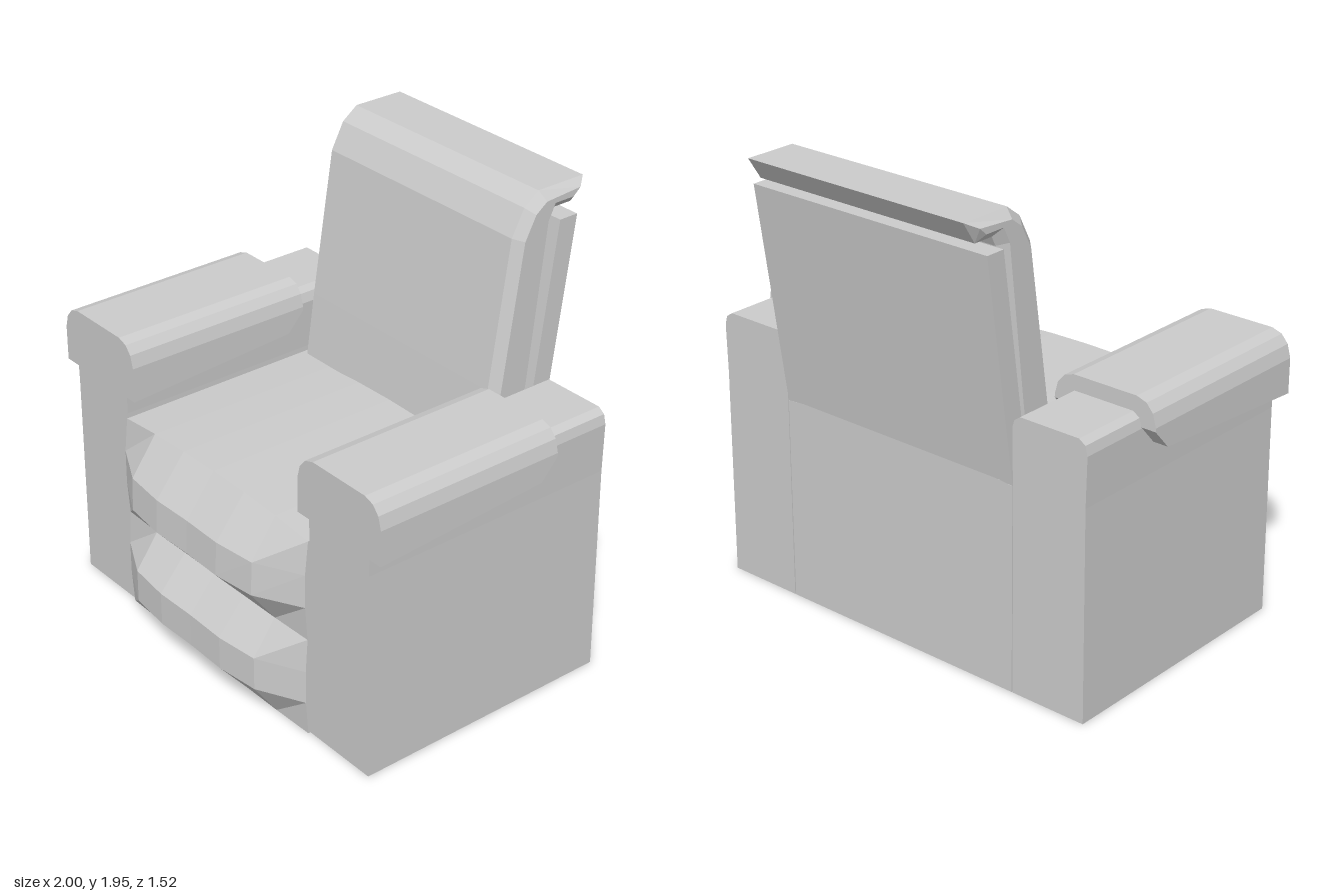
import * as THREE from 'three';
import { ConvexGeometry } from 'three/addons/geometries/ConvexGeometry.js';

const material = new THREE.MeshStandardMaterial({ color: 0xcccccc, flatShading: true });

const shapeFrom = (pts) => new THREE.Shape(pts.map(([a, b]) => new THREE.Vector2(a, b)));

function addMesh(parent, name, geometry) {
  const mesh = new THREE.Mesh(geometry, material);
  mesh.name = name;
  parent.add(mesh);
  return mesh;
}

// Extrudes a [z, y] side profile across x, centred on x = 0
function acrossX(profile, width, { steps = 1, bevel = 0 } = {}) {
  const depth = width - 2 * bevel;
  const geometry = new THREE.ExtrudeGeometry(shapeFrom(profile), {
    depth, steps, bevelEnabled: bevel > 0, bevelSize: bevel,
    bevelThickness: bevel, bevelOffset: -bevel, bevelSegments: 1,
  });
  return geometry.translate(0, 0, -depth / 2).rotateY(-Math.PI / 2);
}

// Seat block with two padded rolls that fade out towards the sides
function seatGeometry() {
  const halfWidth = 0.585, frontZ = 0.625;
  const geometry = acrossX([
    [-0.55, 0], [0.63, 0], [0.757, 0.15], [0.757, 0.295], [0.632, 0.44],
    [0.765, 0.59], [0.757, 0.735], [0.62, 0.91], [-0.55, 0.91],
  ], halfWidth * 2, { steps: 6 });
  const fullness = [0.97, 1, 0.84, 0.08];
  const pos = geometry.attributes.position;
  for (let i = 0; i < pos.count; i++) {
    const x = pos.getX(i), y = pos.getY(i), z = pos.getZ(i);
    const f = fullness[Math.round(Math.abs(x) / 0.195)];
    if (z > frontZ) pos.setZ(i, frontZ + (z - frontZ) * f);
    if (y > 0.85) pos.setY(i, y - 0.03 * (x / halfWidth) ** 2);
  }
  geometry.computeVertexNormals();
  return geometry;
}

// Upright arm block with softened top edges
function armGeometry() {
  const shape = shapeFrom([
    [0.59, 0], [0.935, 0], [0.93, 0.9], [0.935, 1.11], [0.925, 1.15], [0.895, 1.17],
    [0.62, 1.17], [0.593, 1.15], [0.58, 1.11], [0.588, 0.9],
  ]);
  return new THREE.ExtrudeGeometry(shape, { depth: 1.165, bevelEnabled: false }).translate(0, 0, -0.55);
}

// Rounded arm pad: one arch at each station, with a rising underside
function padGeometry() {
  const arch = [
    [0.525, 1.13], [0.54, 1.185], [0.57, 1.22], [0.615, 1.235],
    [0.91, 1.235], [0.955, 1.22], [0.985, 1.185], [1, 1.13],
  ];
  const stations = [[0.62, 0.98], [-0.16, 1.03], [-0.237, 1.115]];
  const points = [];
  for (const [z, bottom] of stations) {
    for (const [x, y] of [[0.525, bottom], ...arch, [1, bottom]]) {
      points.push(new THREE.Vector3(x, y, z));
    }
  }
  return new ConvexGeometry(points);
}

export function createModel() {
  const chair = new THREE.Group();
  chair.name = 'armchair';

  addMesh(chair, 'seat', seatGeometry());

  // Arms: the right one is the left one turned about, then flipped front to back
  for (const [name, side] of [['leftArm', 1], ['rightArm', -1]]) {
    const arm = new THREE.Group();
    arm.name = name;
    arm.scale.x = side;
    addMesh(arm, 'armBlock', armGeometry());
    addMesh(arm, 'armPad', padGeometry());
    chair.add(arm);
  }

  // Leaning rear panel, sunk into the seat block
  addMesh(chair, 'backPanel', acrossX([
    [-0.537, 0.8], [-0.69, 1.825], [-0.602, 1.825], [-0.45, 0.8],
  ], 1.17));

  // Back cushion folded over the top of the panel
  addMesh(chair, 'backCushion', acrossX([
    [-0.262, 0.9], [-0.3, 1.17], [-0.397, 1.79], [-0.455, 1.9], [-0.525, 1.952],
    [-0.755, 1.952], [-0.695, 1.86], [-0.605, 1.86], [-0.585, 1.82], [-0.505, 1.17], [-0.465, 0.9],
  ], 1.145, { bevel: 0.037 })).position.x = 0.004;

  return chair;
}
